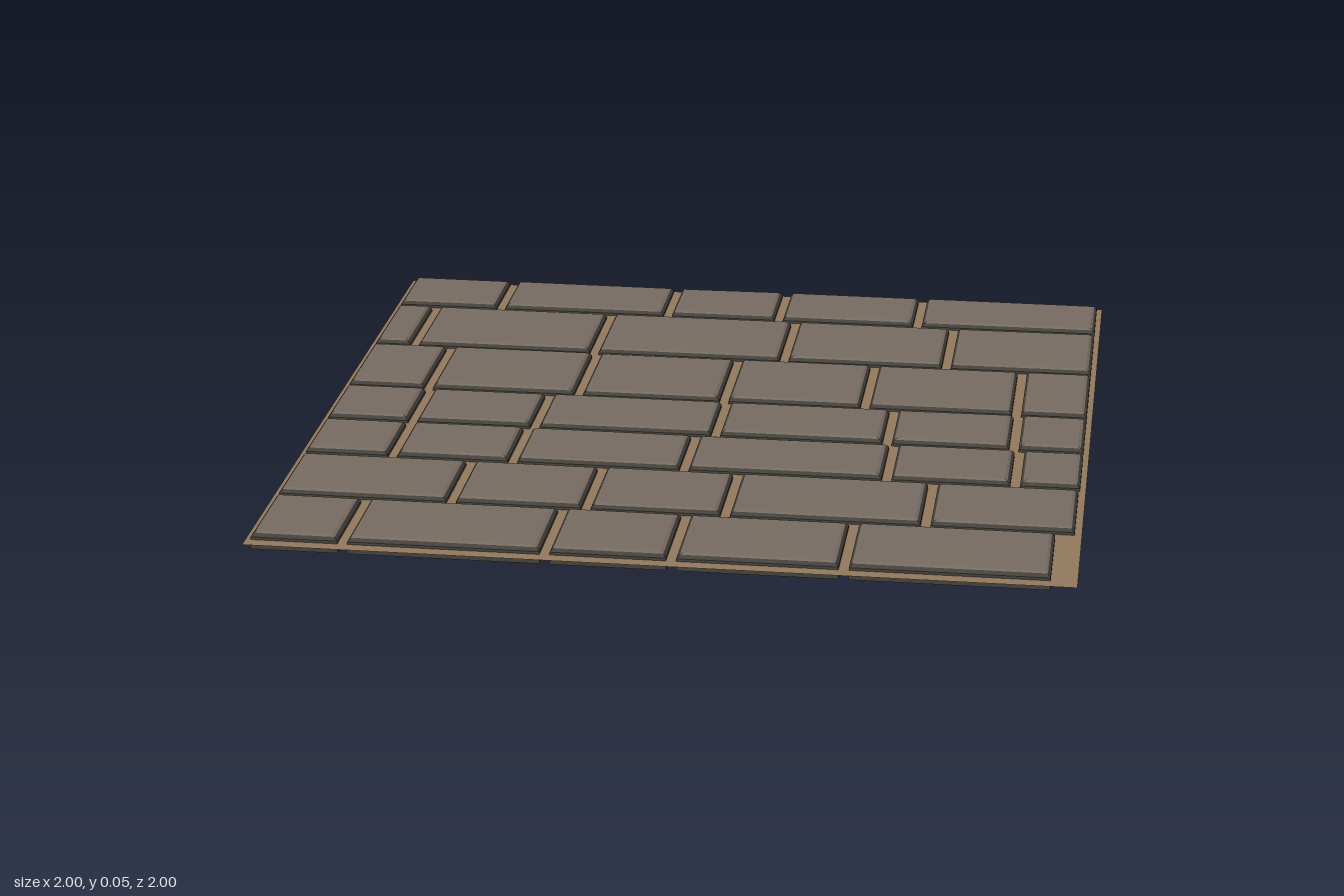
import * as THREE from 'three';

// Each course: back edge, front edge, then the right edge of every slab
const COURSES = [
  [-0.99, -0.768, [-0.71, -0.23, 0.086, 0.478, 0.986]],
  [-0.742, -0.436, [-0.89, -0.387, 0.138, 0.582, 0.986]],
  [-0.415, -0.104, [-0.783, -0.376, 0.015, 0.39, 0.79, 0.986]],
  [-0.083, 0.147, [-0.773, -0.449, 0.025, 0.47, 0.796, 0.986]],
  [0.169, 0.396, [-0.773, -0.462, -0.023, 0.49, 0.812, 0.986]],
  [0.42, 0.683, [-0.564, -0.227, 0.118, 0.609, 0.983]],
  [0.704, 0.967, [-0.773, -0.28, 0.025, 0.437, 0.937]],
];
const LEFT = -0.988, JOINT = 0.023, MORTAR_Y = 0.024, TOP = 0.042;

// Small repeatable noise for worn, uneven tops
let seed = 7;
const wobble = (amount) => {
  seed = (seed * 16807) % 2147483647;
  return (seed / 2147483647 - 0.5) * 2 * amount;
};

// One loop of four corners, anticlockwise from above
function ring(x0, x1, z0, z1, inset, y, jitter = 0) {
  return [[x0 + inset, z1 - inset], [x1 - inset, z1 - inset], [x1 - inset, z0 + inset], [x0 + inset, z0 + inset]]
    .map(([x, z]) => new THREE.Vector3(x, y + wobble(jitter), z));
}

// Slab with groups: 0 sides and bevel, 1 worn rim and top, 2 underside
function slabGeometry(x0, x1, z0, z1) {
  const rings = [
    ring(x0, x1, z0, z1, 0, 0),
    ring(x0, x1, z0, z1, 0.001, 0.031),
    ring(x0, x1, z0, z1, 0.008, 0.039),
    ring(x0, x1, z0, z1, 0.015, TOP, 0.001),
  ];
  const base = rings[0], top = rings[3], points = [];
  for (let r = 0; r < 3; r++) {
    for (let i = 0; i < 4; i++) {
      const j = (i + 1) % 4, a = rings[r], b = rings[r + 1];
      points.push(a[i], a[j], b[j], a[i], b[j], b[i]);
    }
  }
  const peak = new THREE.Vector3((x0 + x1) / 2, TOP + 0.002 + wobble(0.0015), (z0 + z1) / 2);
  for (let i = 0; i < 4; i++) points.push(top[i], top[(i + 1) % 4], peak);
  points.push(base[0], base[2], base[1], base[0], base[3], base[2]);
  const geometry = new THREE.BufferGeometry().setFromPoints(points);
  geometry.addGroup(0, 48, 0);
  geometry.addGroup(48, 36, 1);
  geometry.addGroup(84, 6, 2);
  geometry.computeVertexNormals();
  return geometry;
}

export function createModel() {
  const material = (name, color) => {
    const m = new THREE.MeshStandardMaterial({ color });
    m.name = name;
    return m;
  };
  const stone = material('stone', 0x766b61);
  const darkEdge = material('darkEdge', 0x45423d);
  const mortar = material('mortar', 0x92795d);
  mortar.side = THREE.DoubleSide;

  const model = new THREE.Group();
  model.name = 'stoneFloor';

  // Thin mortar bed filling the joints part way up the slabs
  const bed = new THREE.Mesh(new THREE.PlaneGeometry(2, 2).rotateX(-Math.PI / 2), mortar);
  bed.name = 'mortarBed';
  bed.position.y = MORTAR_Y;
  model.add(bed);

  // Courses of slabs
  COURSES.forEach(([back, front, rightEdges], row) => {
    const course = new THREE.Group();
    course.name = `course${row + 1}`;
    let x = LEFT;
    rightEdges.forEach((right, i) => {
      const slab = new THREE.Mesh(slabGeometry(x, right, back, front), [darkEdge, stone, mortar]);
      slab.name = `slab${i + 1}`;
      course.add(slab);
      x = right + JOINT;
    });
    model.add(course);
  });
  return model;
}
